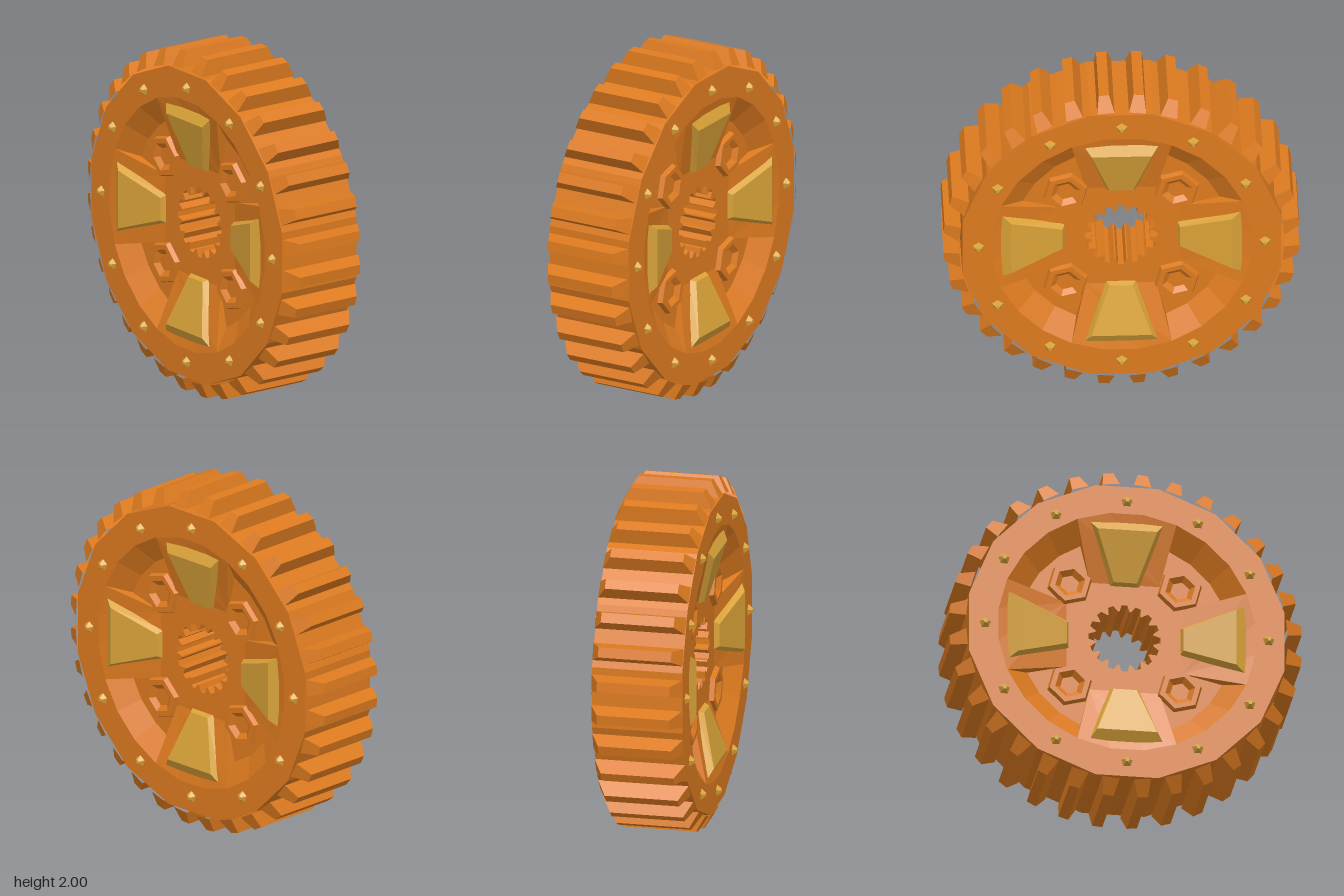
import * as THREE from 'three';
import { mergeGeometries } from 'three/addons/utils/BufferGeometryUtils.js';

const RAD = Math.PI / 180;
const HALF = 0.26;      // half thickness of the rim
const HUB = 0.17;       // half thickness of the hub disc
const RIM_IN = 0.735;   // inner radius of the rim
const DISC = 0.61;      // radius of the hub disc

const polar = (r, deg) => new THREE.Vector2(r * Math.cos(deg * RAD), r * Math.sin(deg * RAD));
const at = (r, deg, z) => { const p = polar(r, deg); return [p.x, p.y, z]; };
const ngon = (n, r, offset = 0) => Array.from({ length: n }, (_, i) => polar(r, offset + (i * 360) / n));
const hoop = (n, r, z, offset = 0) => ngon(n, r, offset).map(p => [p.x, p.y, z]);
const rect = (w, h, z) => [[-w, -h, z], [w, -h, z], [w, h, z], [-w, h, z]];

// Flat-shaded geometry from convex faces, each a counter-clockwise list of [x, y, z]
function fromFaces(faces) {
  const pos = [];
  for (const f of faces)
    for (let i = 1; i < f.length - 1; i++) pos.push(...f[0], ...f[i], ...f[i + 1]);
  const g = new THREE.BufferGeometry();
  g.setAttribute('position', new THREE.Float32BufferAttribute(pos, 3));
  g.computeVertexNormals();
  return g;
}

// Sides through a stack of loops, with an optional cap on the last one
function loft(loops, cap = true) {
  const faces = [];
  const n = loops[0].length;
  for (let k = 0; k < loops.length - 1; k++)
    for (let i = 0; i < n; i++) {
      const j = (i + 1) % n;
      faces.push([loops[k][i], loops[k][j], loops[k + 1][j], loops[k + 1][i]]);
    }
  if (cap) faces.push(loops[loops.length - 1]);
  return fromFaces(faces);
}

// Plate centred on z = 0
function plate(outline, hole, half) {
  const shape = new THREE.Shape(outline);
  shape.holes.push(new THREE.Path(hole));
  const g = new THREE.ExtrudeGeometry(shape, { depth: 2 * half, bevelEnabled: false });
  return g.translate(0, 0, -half);
}

// Outline of the splined bore
function boreOutline() {
  const pts = [];
  for (let i = 0; i < 16; i++) {
    const a = i * 22.5;
    pts.push(polar(0.205, a - 4.5), polar(0.205, a + 4.5), polar(0.167, a + 9.8), polar(0.167, a + 12.7));
  }
  return pts;
}

// Spoke lying along +y: a ramp from the hub disc up to the rim
function spokeGeometry() {
  const low = HUB - 0.02;
  const inR = at(0.386, 59, HUB), inL = at(0.386, 121, HUB);
  const arc = [67.5, 82.5, 97.5, 112.5].map(d => at(RIM_IN, d, HALF));
  const drop = p => [p[0], p[1], low];
  return fromFaces([
    [inR, ...arc, inL],
    [inR, drop(inR), drop(arc[0]), arc[0]],
    [inL, arc[3], drop(arc[3]), drop(inL)],
  ]);
}

// Low hexagonal nut with a tapered socket
function nutGeometry() {
  return loft([
    hoop(6, 0.135, HUB - 0.01, 15), hoop(6, 0.12, 0.198, 15),
    hoop(6, 0.088, 0.198, 15), hoop(6, 0.055, 0.174, 15),
  ]);
}

// Bevelled trapezoid pad lying along +y
function padGeometry() {
  return loft([
    [[-0.085, 0.315, 0.16], [0.085, 0.315, 0.16], [0.213, 0.68, 0.247], [-0.213, 0.68, 0.247]],
    [[-0.066, 0.33, 0.2], [0.066, 0.33, 0.2], [0.17, 0.62, 0.28], [-0.17, 0.62, 0.28]],
  ]);
}

export function createModel() {
  const orange = new THREE.MeshStandardMaterial({ color: 0xdc7a1f });
  orange.name = 'orange';
  const gold = new THREE.MeshStandardMaterial({ color: 0xd9a238 });
  gold.name = 'gold';

  const model = new THREE.Group();
  model.name = 'gearWheel';
  const wheel = new THREE.Group();
  wheel.name = 'wheel';
  wheel.position.y = 1;
  model.add(wheel);

  const add = (parent, name, geometry, material) => {
    const m = new THREE.Mesh(geometry, material);
    m.name = name;
    parent.add(m);
    return m;
  };

  // Rim and hub disc
  add(wheel, 'rim', plate(ngon(16, 0.913, 11.25), ngon(24, RIM_IN, 7.5), HALF), orange);
  add(wheel, 'hubDisc', plate(ngon(24, DISC, 7.5), boreOutline(), HUB), orange);

  // Outer teeth, tapered on all four sides, just clear of the rim
  const tooth = loft([rect(HALF, 0.049, 0.912), rect(0.21, 0.029, 1.002)]).rotateY(Math.PI / 2);
  const teeth = [];
  for (let i = 0; i < 32; i++) teeth.push(tooth.clone().rotateZ((i + 0.5) * 11.25 * RAD));
  add(wheel, 'teeth', mergeGeometries(teeth), orange);

  // Details repeated on the front and the back
  const slope = loft([hoop(24, RIM_IN, HALF, 7.5), hoop(24, DISC, HUB, 7.5)], false);
  const spoke = spokeGeometry();
  const nut = nutGeometry();
  const pad = padGeometry();
  const stud = loft([hoop(5, 0.038, 0.255, 90), hoop(5, 0.012, 0.286, 90)]);
  for (const side of ['front', 'back']) {
    const face = new THREE.Group();
    face.name = side + 'Face';
    if (side === 'back') face.rotation.y = Math.PI;
    wheel.add(face);
    add(face, 'rimSlope', slope, orange);
    for (let k = 0; k < 4; k++) {
      const turn = k * Math.PI / 2;
      add(face, 'spoke', spoke, orange).rotation.z = turn;
      add(face, 'pad', pad, gold).rotation.z = turn;
      const p = polar(0.442, 45 + k * 90);
      add(face, 'nut', nut, orange).position.set(p.x, p.y, 0);
    }
    for (const p of ngon(12, 0.805)) add(face, 'stud', stud, gold).position.set(p.x, p.y, 0);
  }
  return model;
}
